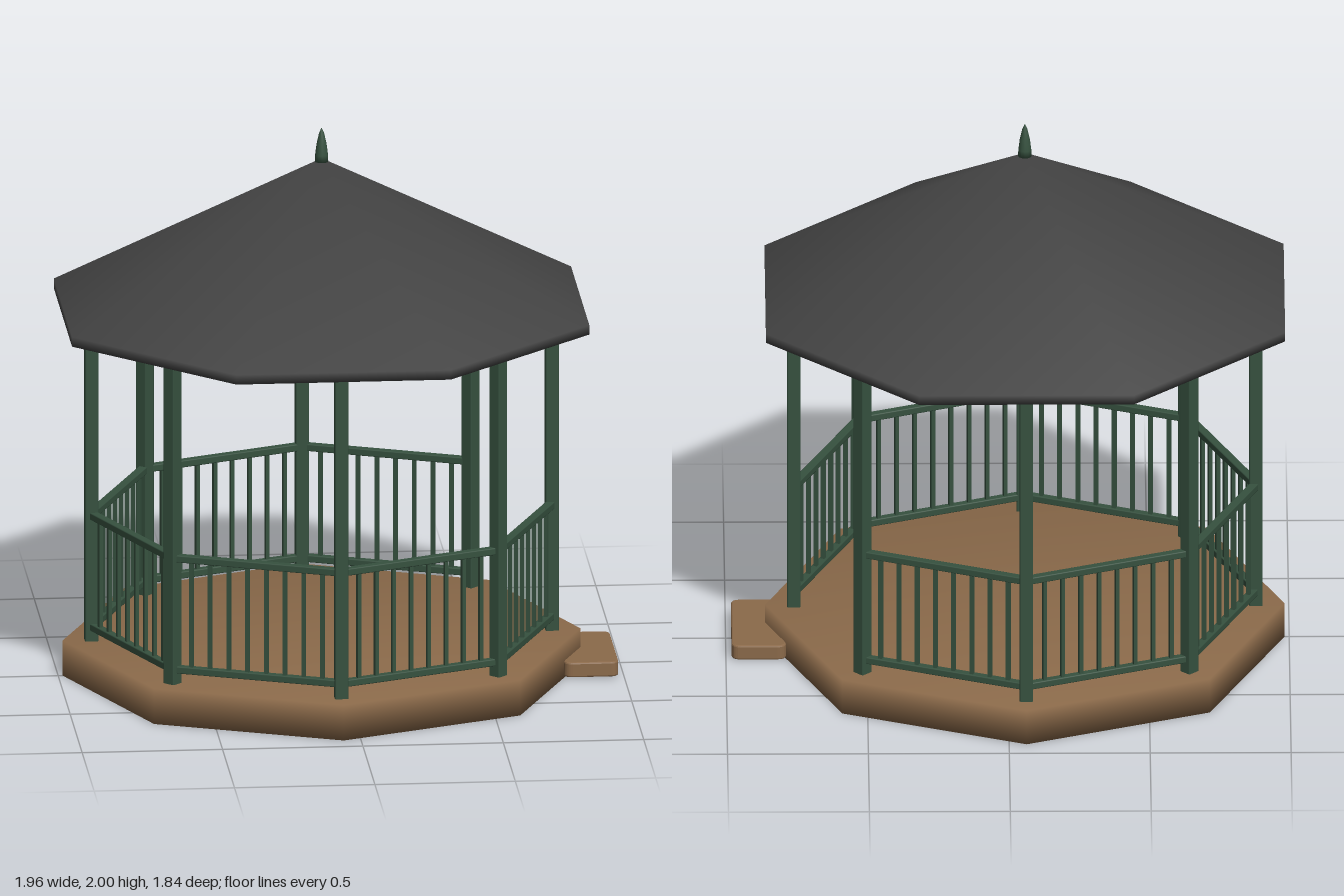
import * as THREE from 'three';
import { mergeVertices } from 'three/addons/utils/BufferGeometryUtils.js';
import { RoundedBoxGeometry } from 'three/addons/geometries/RoundedBoxGeometry.js';

const SIDES = 8, RING = 0.82, SECTOR = Math.PI * 2 / SIDES;

const wood = new THREE.MeshStandardMaterial({ color: 0x8b6a4a });
wood.name = 'brown wood';
const green = new THREE.MeshStandardMaterial({ color: 0x36513f });
green.name = 'dark green paint';
const slate = new THREE.MeshStandardMaterial({ color: 0x434343 });
slate.name = 'charcoal roofing';

function add(parent, name, geometry, material, x = 0, y = 0, z = 0) {
  const mesh = new THREE.Mesh(geometry, material);
  mesh.name = name;
  mesh.position.set(x, y, z);
  parent.add(mesh);
  return mesh;
}

// Turned solid with few sides and softly averaged normals
function softPrism(profile, turn = 0) {
  const lathe = new THREE.LatheGeometry(profile.map(p => new THREE.Vector2(...p)), SIDES);
  lathe.deleteAttribute('normal');
  lathe.deleteAttribute('uv');
  const merged = mergeVertices(lathe, 1e-4);
  merged.rotateY(turn);
  merged.computeVertexNormals();
  return merged;
}

// One side between two posts; local x runs along the side, local z points outward
function buildSide(open) {
  const side = new THREE.Group();
  side.name = open ? 'entranceSide' : 'railingSide';
  const width = 2 * RING * Math.sin(SECTOR / 2);
  const beam = (name, y, height, depth) =>
    add(side, name, new RoundedBoxGeometry(width, height, depth, 1, 0.004), green, 0, y, 0);
  beam('topBeam', 1.312, 0.026, 0.032);
  if (open) return side;
  beam('handRail', 0.592, 0.026, 0.032);
  beam('lowerRail', 0.182, 0.026, 0.03);
  const bar = new THREE.BoxGeometry(0.014, 0.4, 0.014);
  const count = 8;
  for (let i = 1; i <= count; i++) {
    add(side, 'baluster', bar, green, width * (i / (count + 1) - 0.5), 0.387, 0);
  }
  return side;
}

export function createModel() {
  const model = new THREE.Group();
  model.name = 'gazebo';
  const pavilion = new THREE.Group();
  pavilion.name = 'pavilion';
  pavilion.position.x = -0.062;
  model.add(pavilion);

  // Floor has corners under the posts
  add(pavilion, 'floor', softPrism([[0, 0], [0.922, 0], [0.922, 0.13], [0, 0.13]]), wood);

  // Roof is turned half a sector, so its corners lie between the posts
  add(pavilion, 'roof',
    softPrism([[0, 1.322], [0.997, 1.322], [0.997, 1.357], [0, 1.887]], SECTOR / 2), slate);

  // Pointed finial
  const spike = [[0, 1.87], [0.024, 1.875], [0.023, 1.9], [0.018, 1.94], [0.009, 1.98], [0, 2]];
  add(pavilion, 'finial',
    new THREE.LatheGeometry(spike.map(p => new THREE.Vector2(...p)), 12), green);

  // Posts and the sides between them; the entrance is next to the right-hand post
  const post = new RoundedBoxGeometry(0.048, 1.19, 0.048, 1, 0.005);
  const apothem = RING * Math.cos(SECTOR / 2);
  for (let i = 0; i < SIDES; i++) {
    const a = i * SECTOR;
    add(pavilion, 'post', post, green, RING * Math.sin(a), 0.72, RING * Math.cos(a)).rotation.y = a;
    const b = a + SECTOR / 2;
    const side = buildSide(i === 2);
    side.position.set(apothem * Math.sin(b), 0, apothem * Math.cos(b));
    side.rotation.y = b;
    pavilion.add(side);
  }

  // Entrance step with rounded plan corners
  const w = 0.097, d = 0.202, r = 0.025, bevel = 0.006;
  const plan = new THREE.Shape();
  const x = w - bevel, y = d - bevel;
  plan.moveTo(-x + r, -y).lineTo(x - r, -y).quadraticCurveTo(x, -y, x, -y + r);
  plan.lineTo(x, y - r).quadraticCurveTo(x, y, x - r, y);
  plan.lineTo(-x + r, y).quadraticCurveTo(-x, y, -x, y - r);
  plan.lineTo(-x, -y + r).quadraticCurveTo(-x, -y, -x + r, -y);
  const step = new THREE.ExtrudeGeometry(plan, {
    depth: 0.043, bevelThickness: bevel, bevelSize: bevel, bevelSegments: 2, curveSegments: 6,
  });
  step.rotateX(-Math.PI / 2);
  add(model, 'step', step, wood, 0.883, 0.012, 0);
  return model;
}
